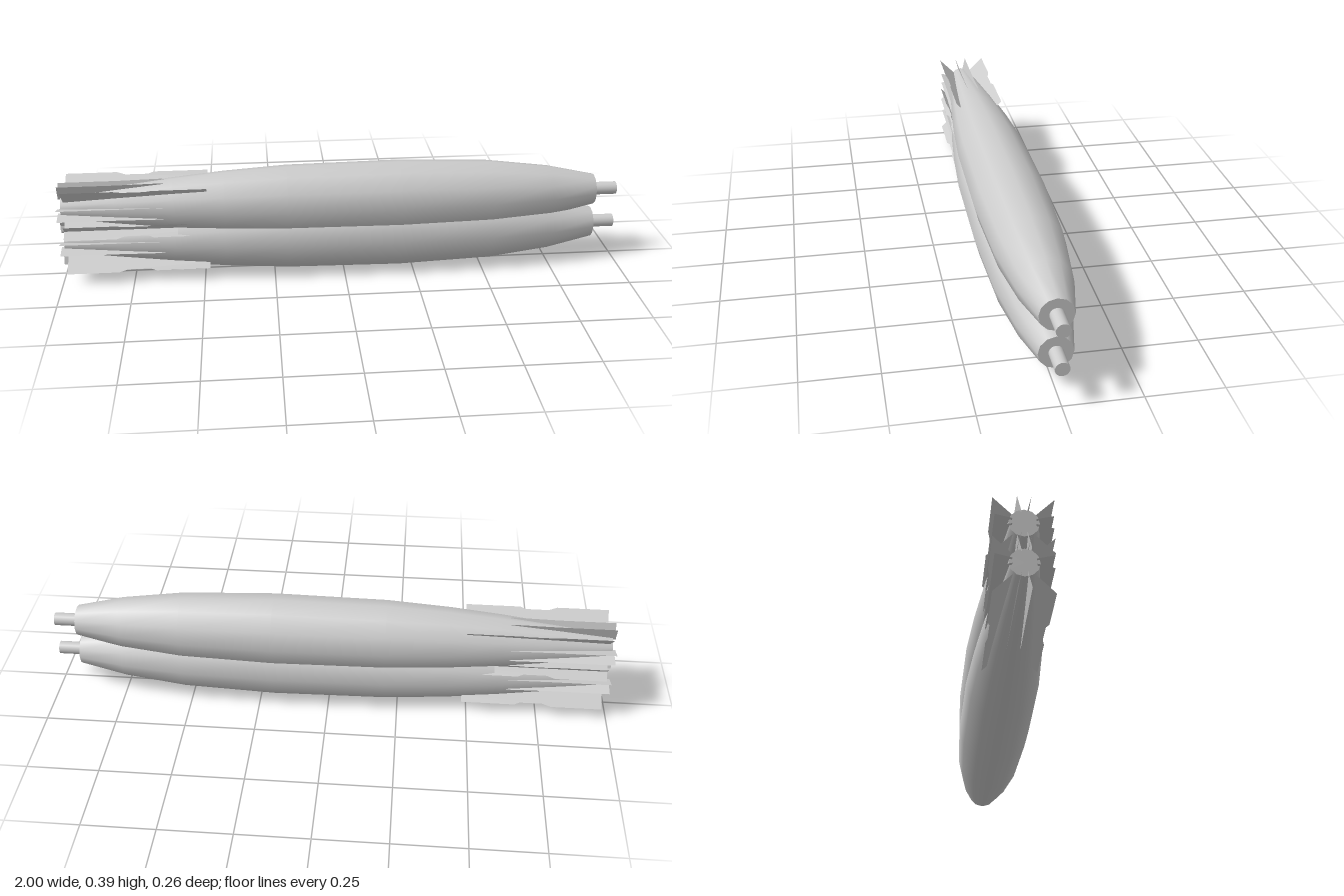
import * as THREE from 'three';

const grey = new THREE.MeshStandardMaterial({ color: 0xcccccc, side: THREE.DoubleSide });
grey.name = 'light grey';

function part(name, geometry) {
  const mesh = new THREE.Mesh(geometry, grey);
  mesh.name = name;
  return mesh;
}

// Flat plate outlined in (x, radius)
function plate(points) {
  return new THREE.ShapeGeometry(new THREE.Shape(points.map(([x, r]) => new THREE.Vector2(x, r))));
}

// Casing outline: [x, radius]
const profile = [
  [-0.99, 0.045], [-0.8, 0.07], [-0.6, 0.094], [-0.42, 0.111], [-0.2, 0.125],
  [0.2, 0.13], [0.53, 0.118], [0.75, 0.091], [0.915, 0.055],
];
const mainFin = [
  [-0.98, 0.04], [-0.98, 0.127], [-0.8, 0.127], [-0.77, 0.117], [-0.69, 0.117],
  [-0.67, 0.125], [-0.48, 0.125], [-0.48, 0.1],
];
const smallFin = [
  [-1, 0.035], [-1, 0.087], [-0.8, 0.087], [-0.64, 0.09], [-0.62, 0.085],
];

function createShell() {
  const shell = new THREE.Group();

  // Twelve-sided smooth casing with flat ends
  const casing = new THREE.LatheGeometry(profile.map(([x, r]) => new THREE.Vector2(r, x)), 12);
  shell.add(part('casing', casing.rotateZ(-Math.PI / 2)));
  shell.add(part('noseFace', new THREE.CircleGeometry(0.055, 12).rotateY(Math.PI / 2).translate(0.915, 0, 0)));
  shell.add(part('tailFace', new THREE.CircleGeometry(0.045, 12).rotateY(-Math.PI / 2).translate(-0.99, 0, 0)));

  // Nose pin
  const pin = new THREE.CylinderGeometry(0.023, 0.023, 0.09, 20).rotateZ(-Math.PI / 2);
  shell.add(part('nosePin', pin.translate(0.955, 0, 0)));

  // Four diagonal fins, with a pair of small fins between each two
  for (let i = 0; i < 4; i++) {
    const quarter = i * Math.PI / 2;
    shell.add(part('mainFin', plate(mainFin).rotateX(quarter + Math.PI / 4)));
    for (const side of [-1, 1]) {
      shell.add(part('smallFin', plate(smallFin).rotateX(quarter + side * 0.24)));
    }
  }
  return shell;
}

export function createModel() {
  const model = new THREE.Group();
  model.name = 'stackedShells';
  [['lowerShell', 0.13], ['upperShell', 0.26]].forEach(([name, y]) => {
    const shell = createShell();
    shell.name = name;
    shell.position.y = y;
    model.add(shell);
  });
  return model;
}
